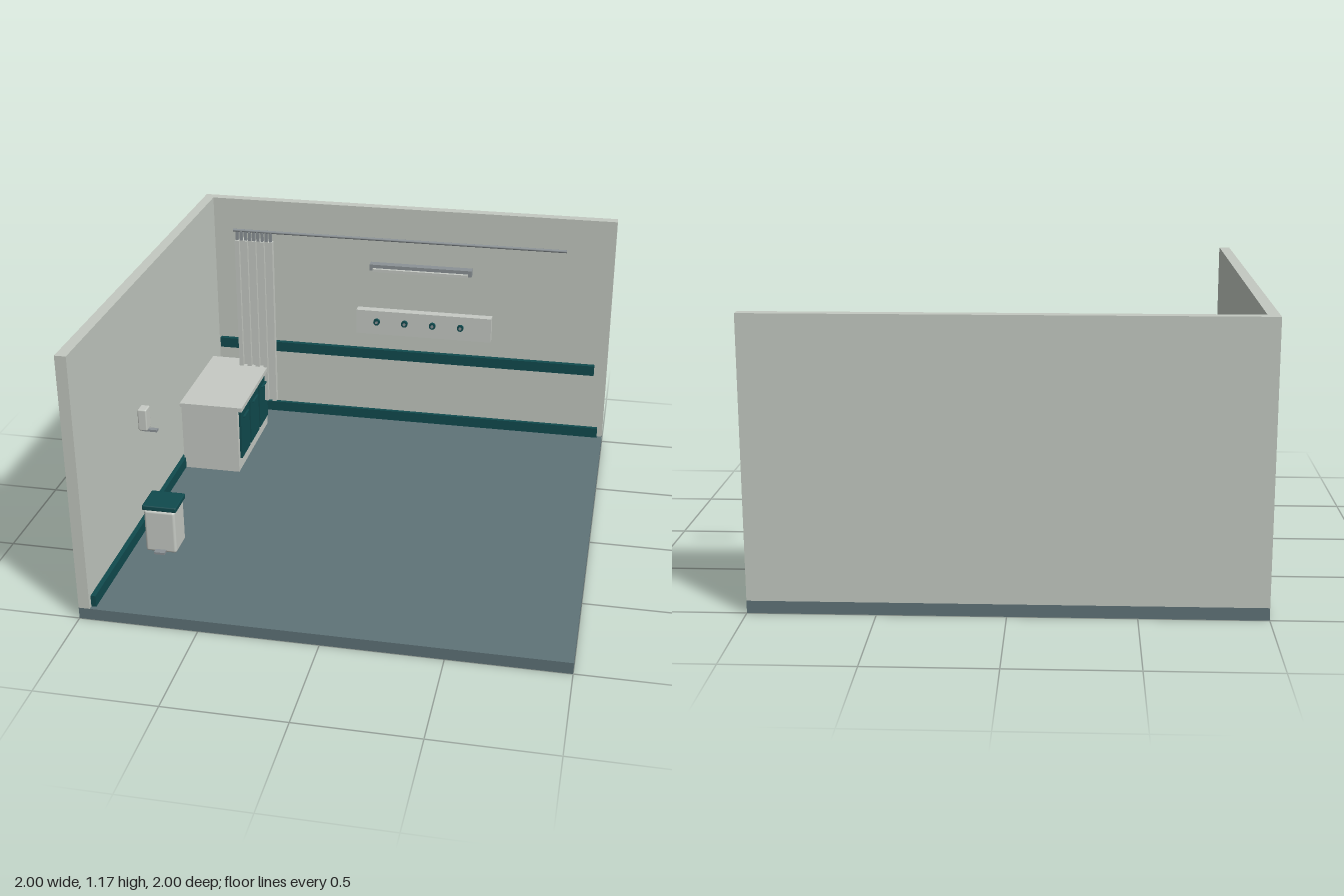
import * as THREE from 'three';
import { RoundedBoxGeometry } from 'three/addons/geometries/RoundedBoxGeometry.js';

const mat = (name, color) => {
  const m = new THREE.MeshStandardMaterial({ color });
  m.name = name;
  return m;
};

export function createModel() {
  const wall = mat('wall paint', 0xc3c9c1);
  const floorMat = mat('slate floor', 0x5f7378);
  const teal = mat('dark teal', 0x104a4e);
  const white = mat('off white', 0xc6cac4);
  const metal = mat('grey metal', 0x8b9296);

  const room = new THREE.Group();
  room.name = 'treatmentRoom';

  const group = (name) => {
    const g = new THREE.Group();
    g.name = name;
    room.add(g);
    return g;
  };
  const add = (parent, name, geometry, material, x, y, z) => {
    const m = new THREE.Mesh(geometry, material);
    m.name = name;
    m.position.set(x, y, z);
    parent.add(m);
    return m;
  };
  // box from its extents; r > 0 rounds the edges
  const box = (parent, name, material, [x0, x1], [y0, y1], [z0, z1], r = 0) => {
    const s = [x1 - x0, y1 - y0, z1 - z0];
    const g = r ? new RoundedBoxGeometry(...s, 2, r) : new THREE.BoxGeometry(...s);
    return add(parent, name, g, material, (x0 + x1) / 2, (y0 + y1) / 2, (z0 + z1) / 2);
  };

  // shell
  box(room, 'floor', floorMat, [-1, 1], [0, 0.05], [-1, 1]);
  box(room, 'backWall', wall, [-1, 1], [0.05, 1.168], [-1, -0.953]);
  box(room, 'sideWall', wall, [-1, -0.953], [0.05, 1.168], [-0.953, 1]);

  // wall trim
  box(room, 'backSkirting', teal, [-0.94, 0.975], [0.05, 0.1], [-0.953, -0.935]);
  box(room, 'sideSkirting', teal, [-0.953, -0.932], [0.05, 0.1], [-0.92, 0.98]);
  box(room, 'bumperRail', teal, [-0.94, 0.94], [0.39, 0.44], [-0.945, -0.922]);

  // cabinet with three doors
  const cabinet = group('cabinet');
  box(cabinet, 'carcass', white, [-0.94, -0.67], [0.05, 0.37], [-0.785, -0.25]);
  box(cabinet, 'worktop', white, [-0.945, -0.645], [0.37, 0.39], [-0.8, -0.242]);
  for (let i = 0; i < 3; i++) {
    const z = -0.351 - i * 0.168;
    box(cabinet, 'door', teal, [-0.67, -0.66], [0.11, 0.355], [z - 0.074, z + 0.074]);
    box(cabinet, 'doorHandle', teal, [-0.66, -0.65], [0.308, 0.315], [z - 0.04, z + 0.04]);
  }

  // pedal bin
  const bin = group('pedalBin');
  box(bin, 'binBody', white, [-0.872, -0.735], [0.053, 0.253], [0.395, 0.528], 0.012);
  box(bin, 'binLid', teal, [-0.879, -0.728], [0.252, 0.275], [0.386, 0.526], 0.005);
  box(bin, 'pedal', metal, [-0.827, -0.78], [0.058, 0.068], [0.52, 0.556]);

  // soap dispenser
  const soap = group('soapDispenser');
  box(soap, 'dispenserBody', white, [-0.945, -0.905], [0.525, 0.625], [0.268, 0.322], 0.006);
  box(soap, 'dispenserLever', metal, [-0.935, -0.868], [0.515, 0.525], [0.282, 0.304]);

  // curtain gathered at one end of its rail
  const curtain = group('curtain');
  const rail = add(curtain, 'curtainRail', new THREE.CylinderGeometry(0.007, 0.007, 1.58, 12),
    metal, -0.004, 1.087, -0.732);
  rail.rotation.z = Math.PI / 2;
  const folds = 9, foldWidth = 0.183 / folds;
  for (let i = 0; i < folds; i++) {
    const x = -0.785 + i * foldWidth;
    const z = i % 2 ? -0.75 : -0.731;
    box(curtain, 'fold', white, [x, x + foldWidth], [0.21, 1.04], [z - 0.015, z + 0.015]);
    box(curtain, 'hook', metal, [x + 0.003, x + 0.016], [1.04, 1.083], [-0.738, -0.724]);
  }

  // wall lamp
  const lamp = group('wallLamp');
  box(lamp, 'lampHousing', metal, [-0.168, 0.33], [0.863, 0.894], [-0.945, -0.905]);
  box(lamp, 'lampDiffuser', white, [-0.15, 0.312], [0.863, 0.877], [-0.905, -0.89]);

  // service panel with four outlets
  const panel = group('servicePanel');
  box(panel, 'panelPlate', white, [-0.233, 0.433], [0.533, 0.655], [-0.945, -0.902]);
  for (let i = 0; i < 4; i++) {
    const x = -0.13 + i * 0.138;
    const outlet = (name, r, d, m) => {
      add(panel, name, new THREE.CylinderGeometry(r, r, d, 16), m, x, 0.6, -0.902 + d / 2)
        .rotation.x = Math.PI / 2;
    };
    outlet('outlet', 0.016, 0.014, teal);
    outlet('outletCore', 0.007, 0.018, metal);
  }
  return room;
}
